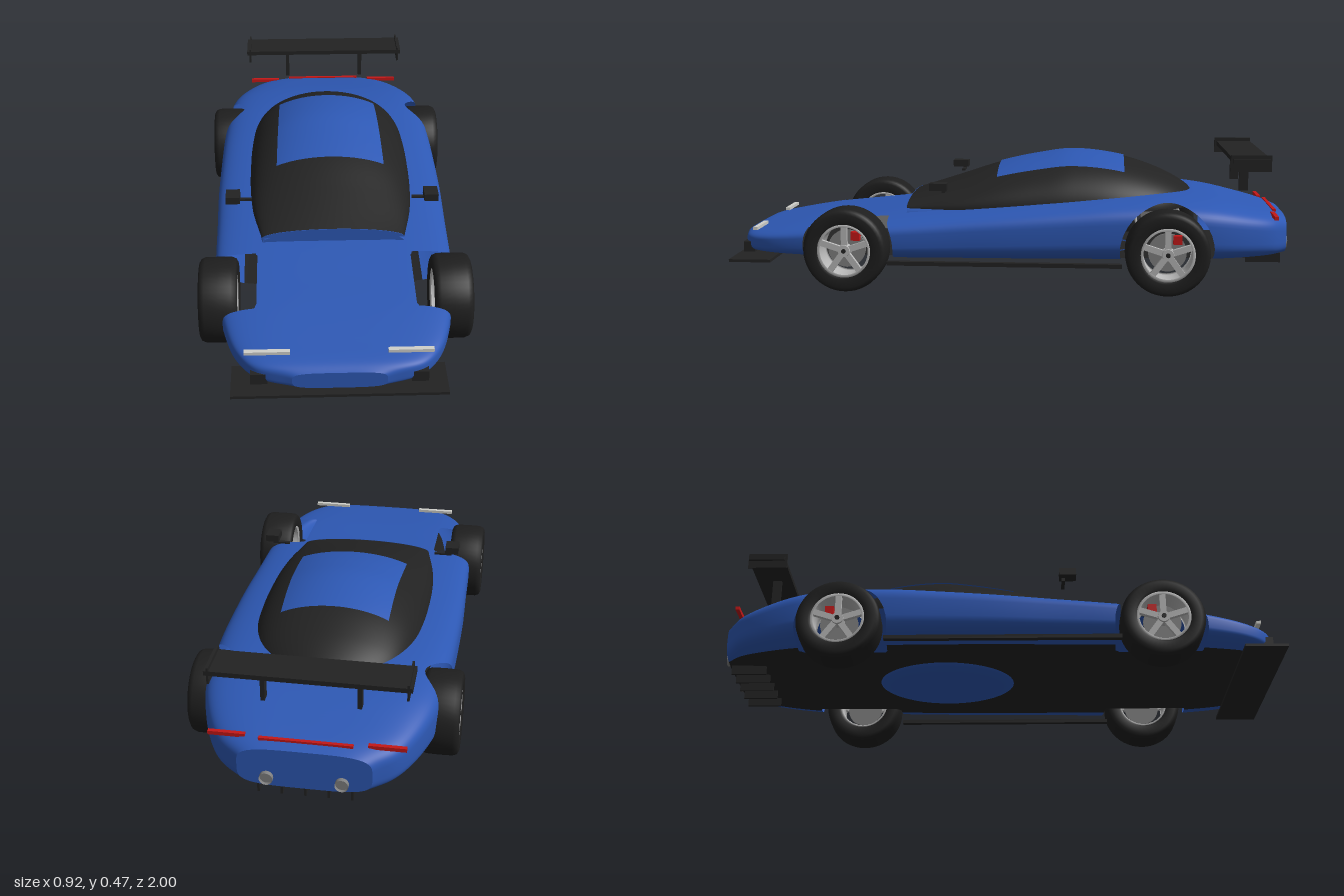
import * as THREE from 'three';

const mat = (name, color, side = THREE.FrontSide) => {
  const m = new THREE.MeshStandardMaterial({ color, side });
  m.name = name;
  return m;
};

// Smooth skin through point(u, v); u runs front to back, v counter-clockwise
function loft(point, nu, nv) {
  const pos = [], index = [];
  for (let i = 0; i <= nu; i++) {
    for (let j = 0; j <= nv; j++) pos.push(...point(i / nu, j / nv));
  }
  for (let i = 0; i < nu; i++) {
    for (let j = 0; j < nv; j++) {
      const a = i * (nv + 1) + j, b = a + nv + 1;
      index.push(a, b, a + 1, b, b + 1, a + 1);
    }
  }
  const g = new THREE.BufferGeometry();
  g.setAttribute('position', new THREE.Float32BufferAttribute(pos, 3));
  g.setIndex(index);
  g.computeVertexNormals();
  return g;
}

// Flat end plate for a section
function endCap(point, u, nv, back) {
  const pts = [];
  for (let j = 0; j < nv; j++) {
    const p = point(u, j / nv);
    pts.push(new THREE.Vector2(p[0], p[1]));
  }
  const g = new THREE.ShapeGeometry(new THREE.Shape(pts));
  if (back) g.rotateY(Math.PI);
  return g.translate(0, 0, point(u, 0)[2]);
}

// Cuts the wheel openings out of the skin and separates the floor strip from the paint
function cutArches(geo, nv, keep) {
  const g = geo.toNonIndexed(), P = g.attributes.position, N = g.attributes.normal;
  const out = [{ p: [], n: [] }, { p: [], n: [] }];
  for (let t = 0; t < P.count / 3; t++) {
    const v = [0, 1, 2].map(k => {
      const p = new THREE.Vector3().fromBufferAttribute(P, t * 3 + k);
      return { p, n: new THREE.Vector3().fromBufferAttribute(N, t * 3 + k), d: keep(p) };
    });
    const poly = [];
    v.forEach((a, k) => {
      const b = v[(k + 1) % 3];
      if (a.d >= 0) poly.push(a);
      if ((a.d >= 0) !== (b.d >= 0)) {
        const s = a.d / (a.d - b.d);
        poly.push({ p: a.p.clone().lerp(b.p, s), n: a.n.clone().lerp(b.n, s).normalize() });
      }
    });
    const f = ((Math.floor(t / 2) % nv) + 0.5) / nv;
    const o = out[f < 0.1 || f > 0.9 ? 1 : 0];
    for (let k = 1; k + 1 < poly.length; k++) {
      for (const q of [poly[0], poly[k], poly[k + 1]]) {
        o.p.push(...q.p.toArray());
        o.n.push(...q.n.toArray());
      }
    }
  }
  return out.map(o => {
    const r = new THREE.BufferGeometry();
    r.setAttribute('position', new THREE.Float32BufferAttribute(o.p, 3));
    r.setAttribute('normal', new THREE.Float32BufferAttribute(o.n, 3));
    return r;
  });
}

const curve = pts => new THREE.CatmullRomCurve3(pts.map(p => new THREE.Vector3(...p)));

export function createModel() {
  const car = new THREE.Group();
  car.name = 'car';
  const blue = mat('bluePaint', 0x2d58b4, THREE.DoubleSide);
  const black = mat('blackTrim', 0x222222, THREE.DoubleSide);
  const tyreMat = mat('tyreRubber', 0x1e1e1e);
  const silver = mat('silverRim', 0xb8b8b8, THREE.DoubleSide);
  const steel = mat('steel', 0x808080, THREE.DoubleSide);
  const red = mat('red', 0xc41818);
  const lamp = mat('headlightGrey', 0xcfcfca);

  const add = (name, geo, m, parent = car) => {
    const mesh = new THREE.Mesh(geo, m);
    mesh.name = name;
    parent.add(mesh);
    return mesh;
  };
  const box = (name, m, w, h, d, x, y, z, parent) =>
    add(name, new THREE.BoxGeometry(w, h, d).translate(x, y, z), m, parent);

  // Body shell: rows of half width, top height, z
  const bodyLine = curve([
    [0.15, 0.165, 0.985], [0.27, 0.182, 0.945], [0.33, 0.195, 0.87], [0.377, 0.218, 0.72],
    [0.402, 0.235, 0.56], [0.412, 0.25, 0.42], [0.416, 0.272, 0.2], [0.42, 0.291, 0],
    [0.418, 0.309, -0.2], [0.413, 0.323, -0.38], [0.402, 0.327, -0.55], [0.385, 0.312, -0.71],
    [0.335, 0.283, -0.85], [0.285, 0.263, -0.93], [0.215, 0.245, -0.985]]);
  const squash = s => Math.sign(s) * Math.sqrt(Math.abs(s));
  const bodyPoint = (u, v) => {
    const c = bodyLine.getPoint(u), t = (v * 2 - 0.5) * Math.PI;
    const base = 0.095 + 0.012 * Math.abs(c.z) ** 6, mid = (c.y + base) / 2;
    return [c.x * squash(Math.cos(t)), mid + (c.y - mid) * squash(Math.sin(t)), c.z];
  };
  const axles = [0.56, -0.555], wheelY = 0.147;
  const keep = p => Math.min(...axles.map(z =>
    Math.max(Math.hypot(p.y - wheelY, p.z - z) - 0.163, 0.265 - Math.abs(p.x))));
  const [skin, floor] = cutArches(loft(bodyPoint, 140, 80), 80, keep);
  add('bodyShell', skin, blue);
  add('floor', floor, black);
  add('noseCap', endCap(bodyPoint, 0, 80, false), blue);
  add('tailCap', endCap(bodyPoint, 1, 80, true), blue);
  add('underBulge', new THREE.SphereGeometry(1, 40, 12, 0, Math.PI * 2, Math.PI / 2, Math.PI / 2)
    .scale(0.19, 0.035, 0.25).translate(0, 0.1, -0.2), blue);

  // Glass canopy
  const canopyLine = curve([
    [0.25, 0.303, 0.37], [0.283, 0.36, 0.2], [0.297, 0.409, 0.05], [0.301, 0.442, -0.1],
    [0.3, 0.457, -0.22], [0.288, 0.438, -0.39], [0.25, 0.398, -0.52], [0.19, 0.36, -0.6],
    [0.12, 0.33, -0.645], [0.02, 0.3, -0.665]]);
  const arc = (c, t, grow = 0) =>
    [(c.x + grow) * Math.cos(t), 0.268 + (c.y - 0.268 + grow) * Math.sin(t), c.z];
  const canopyPoint = (u, v) => arc(canopyLine.getPoint(u), v * Math.PI);
  add('canopyGlass', loft(canopyPoint, 60, 48), black);

  // Painted roof panel lying on the canopy (curve spans stations 2 to 5)
  add('roofPanel', loft((u, v) => {
    const c = canopyLine.getPoint((2 + u * 3.13) / 9);
    const t = Math.acos((0.195 - 0.01 * u) / c.x);
    return arc(c, t + v * (Math.PI - 2 * t), 0.004);
  }, 24, 24), blue);

  // Painted cowl under the windscreen
  const cowlPoint = (u, v) => {
    const c = canopyLine.getPoint(u * 2 / 9), t = v * Math.PI;
    return [(c.x + 0.004) * squash(Math.cos(t)), 0.22 + (0.062 + 0.016 * u) * squash(Math.sin(t)), c.z];
  };
  add('cowl', loft(cowlPoint, 12, 32), blue);
  add('cowlFront', endCap(cowlPoint, 0, 33, false).translate(0, 0, 0.001), blue);
  add('windscreenLip', endCap(canopyPoint, 0, 49, false).translate(0, 0, 0.002), blue);

  // Front splitter, rear wing and diffuser
  box('splitter', black, 0.69, 0.01, 0.15, 0, 0.086, 0.925);
  box('wingBlade', black, 0.65, 0.016, 0.13, 0, 0.455, -0.845);
  for (let i = -2; i <= 2; i++) box('diffuserFin', black, 0.008, 0.035, 0.125, i * 0.075, 0.087, -0.912);
  box('centreTailLight', red, 0.3, 0.01, 0.012, 0, 0.258, -0.948);

  // Paired parts
  for (const s of [1, -1]) {
    box('wingEndPlate', black, 0.007, 0.057, 0.14, s * 0.312, 0.447, -0.842);
    box('wingPost', black, 0.014, 0.118, 0.032, s * 0.155, 0.391, -0.835);
    box('sideSill', black, 0.02, 0.014, 0.82, s * 0.395, 0.096, 0.01);
    box('mirror', black, 0.05, 0.026, 0.06, s * 0.352, 0.362, 0.24);
    box('mirrorArm', black, 0.065, 0.007, 0.012, s * 0.318, 0.342, 0.225);
    box('mirrorStem', black, 0.012, 0.018, 0.012, s * 0.345, 0.348, 0.225);
    box('frontIntake', black, 0.054, 0.038, 0.04, s * 0.255, 0.126, 0.942);
    box('headlight', lamp, 0.145, 0.011, 0.016, s * 0.228, 0.195, 0.913);
    box('tailLight', red, 0.12, 0.013, 0.014, s * 0.255, 0.256, -0.935);
    add('exhaust', new THREE.CylinderGeometry(0.022, 0.022, 0.04, 20, 1, true)
      .rotateX(Math.PI / 2).translate(s * 0.12, 0.14, -0.98), steel);
    add('exhaustBaffle', new THREE.CircleGeometry(0.021, 20).rotateY(Math.PI)
      .translate(s * 0.12, 0.14, -0.99), steel);
  }

  // Wheels: turned profiles of [radius, width offset]
  const turned = pts => new THREE.LatheGeometry(pts.map(p => new THREE.Vector2(...p)), 48).rotateZ(-Math.PI / 2);
  const tyre = turned([[0.09, -0.058], [0.1, -0.064], [0.128, -0.065], [0.139, -0.059], [0.145, -0.045],
    [0.146, 0], [0.145, 0.045], [0.139, 0.059], [0.128, 0.065], [0.1, 0.064], [0.09, 0.058]]);
  const rim = turned([[0.085, -0.055], [0.093, -0.06], [0.088, -0.045], [0.082, 0], [0.088, 0.045],
    [0.094, 0.06], [0.084, 0.058]]);
  const disc = new THREE.CylinderGeometry(0.066, 0.066, 0.01, 36).rotateZ(Math.PI / 2);
  const hub = new THREE.CylinderGeometry(0.02, 0.024, 0.03, 24).rotateZ(-Math.PI / 2).translate(0.043, 0, 0);
  const hubNut = new THREE.CylinderGeometry(0.008, 0.008, 0.006, 12).rotateZ(-Math.PI / 2).translate(0.06, 0, 0);
  for (const s of [1, -1]) {
    for (const z of axles) {
      const wheel = new THREE.Group();
      wheel.name = 'wheel';
      wheel.position.set(s * 0.394, wheelY, z);
      wheel.scale.x = s;
      car.add(wheel);
      add('tyre', tyre, tyreMat, wheel);
      add('rim', rim, silver, wheel);
      add('brakeDisc', disc, steel, wheel);
      add('hub', hub, silver, wheel);
      add('hubNut', hubNut, black, wheel);
      box('brakeCaliper', red, 0.03, 0.03, 0.03, 0.01, 0.046, -0.034, wheel);
      for (let i = 0; i < 5; i++) {
        const spoke = box('spoke', silver, 0.016, 0.072, 0.021, 0.043, 0.05, 0, wheel);
        spoke.rotation.x = i * Math.PI * 0.4;
      }
    }
  }
  return car;
}
